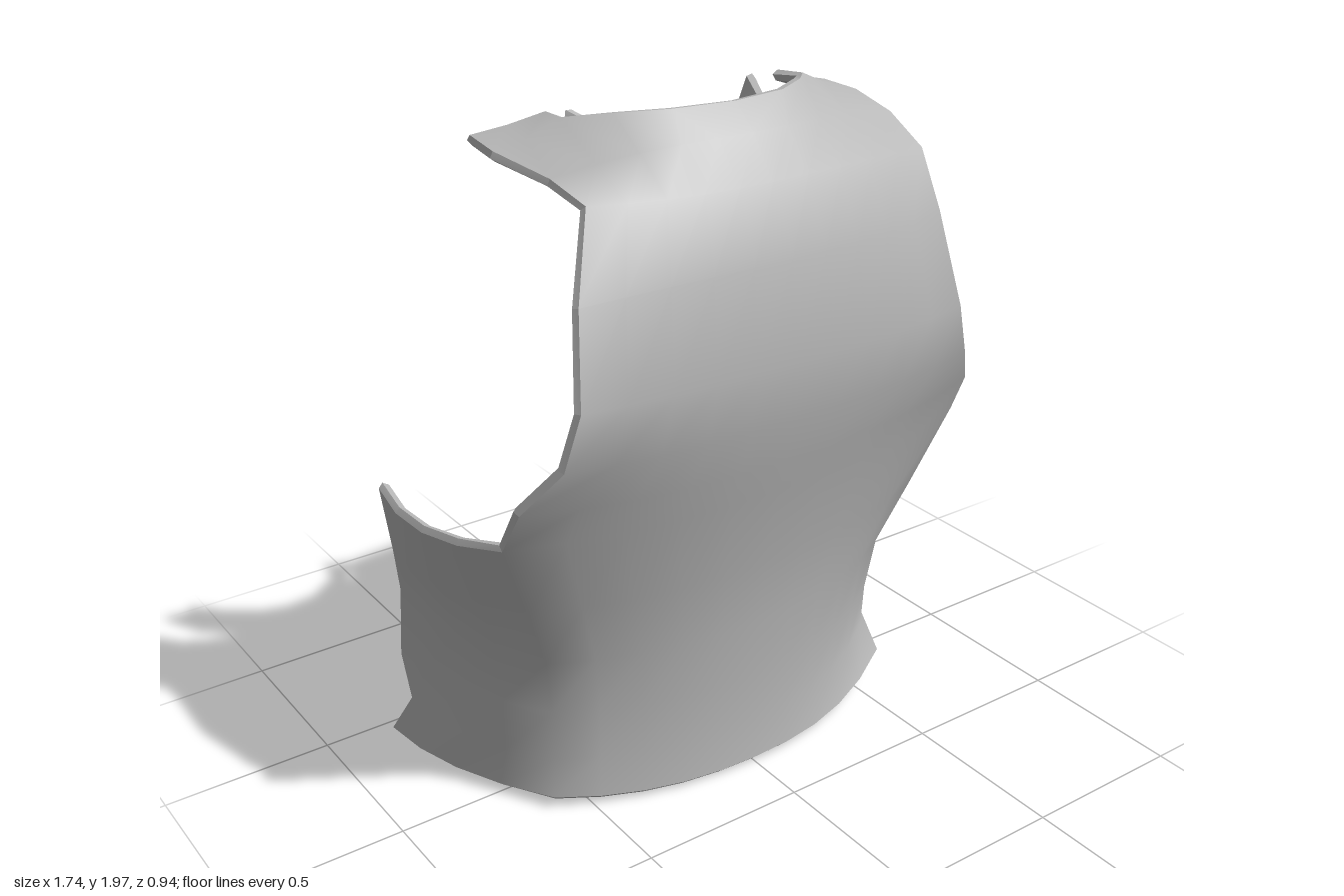
import * as THREE from 'three';

const THICKNESS = 0.03;
const RIDGE = 0.012;

// Turns a grid of points (rows upward, columns from -x to +x, null = gap)
// into a closed shell: smooth outside, smooth inside and a ridged rim.
function shell(grid, material, name) {
  const outer = [], ids = grid.map(row => row.map(p => p ? outer.push(p) - 1 : -1));
  const quads = [], edges = new Map();
  for (let r = 0; r < grid.length - 1; r++) {
    for (let c = 0; c < grid[0].length - 1; c++) {
      const q = [ids[r][c], ids[r][c + 1], ids[r + 1][c + 1], ids[r + 1][c]];
      if (q.includes(-1)) continue;
      quads.push(q);
      q.forEach((a, i) => edges.set(a + '_' + q[(i + 1) % 4], [a, q[(i + 1) % 4]]));
    }
  }
  const build = (points, faces) => {
    const g = new THREE.BufferGeometry();
    g.setAttribute('position', new THREE.Float32BufferAttribute(points.flat(), 3));
    g.setIndex(faces.flatMap(([a, b, c, d]) => [a, b, c, a, c, d]));
    g.computeVertexNormals();
    return g;
  };

  // Inner wall follows the outer wall at a constant depth
  const normalData = build(outer, quads).attributes.normal;
  const normals = outer.map((p, i) => new THREE.Vector3().fromBufferAttribute(normalData, i));
  const n = outer.length;
  const inner = outer.map((p, i) => p.map((v, k) => v - normals[i].getComponent(k) * THICKNESS));
  const points = [...outer, ...inner];
  const faces = [...quads, ...quads.map(q => q.map(i => i + n).reverse())];

  // Outward direction at every open edge, for the ridge of the rim
  const rim = [...edges.values()].filter(([a, b]) => !edges.has(b + '_' + a));
  const outward = outer.map(() => new THREE.Vector3());
  for (const [a, b] of rim) {
    const along = new THREE.Vector3(...outer[b]).sub(new THREE.Vector3(...outer[a])).normalize();
    for (const i of [a, b]) outward[i].add(along.clone().cross(normals[i]));
  }
  const ridge = outer.map((p, i) => {
    const d = outward[i].normalize();
    return p.map((v, k) => (v + inner[i][k]) / 2 + d.getComponent(k) * RIDGE);
  });
  for (const [a, b] of rim) {
    for (const [from, to] of [[outer, ridge], [ridge, inner]]) {
      const start = points.length;
      points.push(from[b], from[a], to[a], to[b]);
      faces.push([start, start + 1, start + 2, start + 3]);
    }
  }
  const mesh = new THREE.Mesh(build(points, faces), material);
  mesh.name = name;
  return mesh;
}

// Rows of the front: centre y, centre z, left corner xyz, right corner xyz
const FRONT = [
  [0.03, 0.315, 0.61, 0.10, 0.16, -0.60, 0.05, 0.16],
  [0.16, 0.305, 0.56, 0.20, 0.13, -0.59, 0.17, 0.15],
  [0.32, 0.31, 0.56, 0.34, 0.14, -0.59, 0.33, 0.15],
  [0.50, 0.32, 0.59, 0.50, 0.15, -0.61, 0.50, 0.16],
  [0.70, 0.345, 0.67, 0.70, 0.20, -0.68, 0.70, 0.20],
  [0.95, 0.40, 0.775, 0.94, 0.25, -0.78, 0.95, 0.26],
  [1.05, 0.425, 0.755, 1.07, 0.32, -0.76, 1.07, 0.32],
  [1.18, 0.45, 0.665, 1.20, 0.40, -0.68, 1.20, 0.41],
  [1.35, 0.47, 0.605, 1.36, 0.43, -0.645, 1.36, 0.44],
  [1.62, 0.43, 0.56, 1.63, 0.37, -0.60, 1.60, 0.37],
  [1.80, 0.345, 0.575, 1.78, 0.27, -0.51, 1.81, 0.27],
  [1.91, 0.26, 0.58, 1.85, 0.13, -0.53, 1.85, 0.14],
];

// Rear edges of the side panels: left xyz, right xyz
const REAR = [
  [0.75, 0.04, -0.41, -0.80, 0.02, -0.46],
  [0.74, 0.16, -0.30, -0.78, 0.18, -0.35],
  [0.72, 0.32, -0.37, -0.78, 0.31, -0.40],
  [0.74, 0.48, -0.35, -0.77, 0.53, -0.39],
  [0.80, 0.70, -0.33, -0.81, 0.70, -0.33],
  [0.85, 0.98, -0.33, -0.85, 0.92, -0.30],
];

// Neckline between the two armholes
const NECKLINE = [
  [-0.59, 1.89, -0.03], [-0.50, 1.91, -0.02], [-0.41, 1.955, 0], [-0.32, 1.975, 0.11],
  [-0.19, 1.98, 0.175], [0, 1.975, 0.185], [0.16, 1.98, 0.175], [0.27, 1.98, 0.11],
  [0.36, 1.965, 0.01], [0.46, 1.92, -0.01], [0.59, 1.88, -0.03],
];

const FRONT_STEPS = [-1, -0.8, -0.6, -0.4, -0.2, 0, 0.2, 0.4, 0.6, 0.8, 1];
const SIDE_STEPS = [0.25, 0.5, 0.75, 1];

// Front point at t = -1 (right) to 1 (left)
function frontPoint(row, t) {
  const [yc, zc] = row;
  const [x, y, z] = t < 0 ? row.slice(5) : row.slice(2, 5);
  const a = Math.abs(t);
  return [x * a, yc + (y - yc) * a ** 3, zc + (z - zc) * a ** 2.2];
}

// Side panel point at s = 0 (front corner) to 1 (rear edge), bowed outward
function sidePoint(r, s, left) {
  if (!REAR[r]) return null;
  const from = left ? FRONT[r].slice(2, 5) : FRONT[r].slice(5);
  const to = left ? REAR[r].slice(0, 3) : REAR[r].slice(3);
  const bow = 4 * s * (1 - s), p = from.map((v, k) => v + (to[k] - v) * s);
  p[0] += (left ? 0.05 : -0.05) * bow;
  if (r === REAR.length - 1) p[1] -= (left ? 0.09 : 0.025) * bow;
  return p;
}

export function createModel() {
  const group = new THREE.Group();
  group.name = 'chestArmour';
  const grey = new THREE.MeshStandardMaterial({ color: 0xb8b8b8 });
  grey.name = 'plain grey';

  // Chest with wrapped side panels
  const body = FRONT.map((row, r) => [
    ...[...SIDE_STEPS].reverse().map(s => sidePoint(r, s, false)),
    ...FRONT_STEPS.map(t => frontPoint(row, t)),
    ...SIDE_STEPS.map(s => sidePoint(r, s, true)),
  ]);

  // Neckline, then shoulder ends continuing past it
  const gap = k => Array(k).fill(null);
  body.push([...gap(4), ...NECKLINE, ...gap(4)]);
  body.push([
    ...gap(4), [-0.58, 1.90, -0.165], [-0.49, 1.92, -0.13], [-0.40, 1.95, -0.09],
    ...gap(5), [0.34, 1.96, -0.075], [0.45, 1.92, -0.125], [0.595, 1.88, -0.175], ...gap(4),
  ]);
  group.add(shell(body, grey, 'breastplate'));

  // Loose collar strip inside the neckline
  const collarLow = [
    [-0.27, 1.82, -0.19], [-0.20, 1.77, -0.13], [-0.11, 1.74, -0.08], [-0.02, 1.735, -0.06],
    [0.08, 1.735, -0.07], [0.18, 1.74, -0.13], [0.28, 1.75, -0.22],
  ];
  const collarHigh = [
    [-0.33, 1.92, -0.11], [-0.28, 1.88, 0], [-0.17, 1.86, 0.10], [0, 1.85, 0.13],
    [0.16, 1.86, 0.09], [0.26, 1.88, -0.01], [0.30, 1.93, -0.12],
  ];
  // Middle row sags slightly so the strip is rounded
  const collarMid = collarLow.map((p, i) => p.map((v, k) =>
    (v + collarHigh[i][k]) / 2 + [0, -0.02, 0.01][k]));
  group.add(shell([collarLow, collarMid, collarHigh], grey, 'collar'));

  return group;
}
